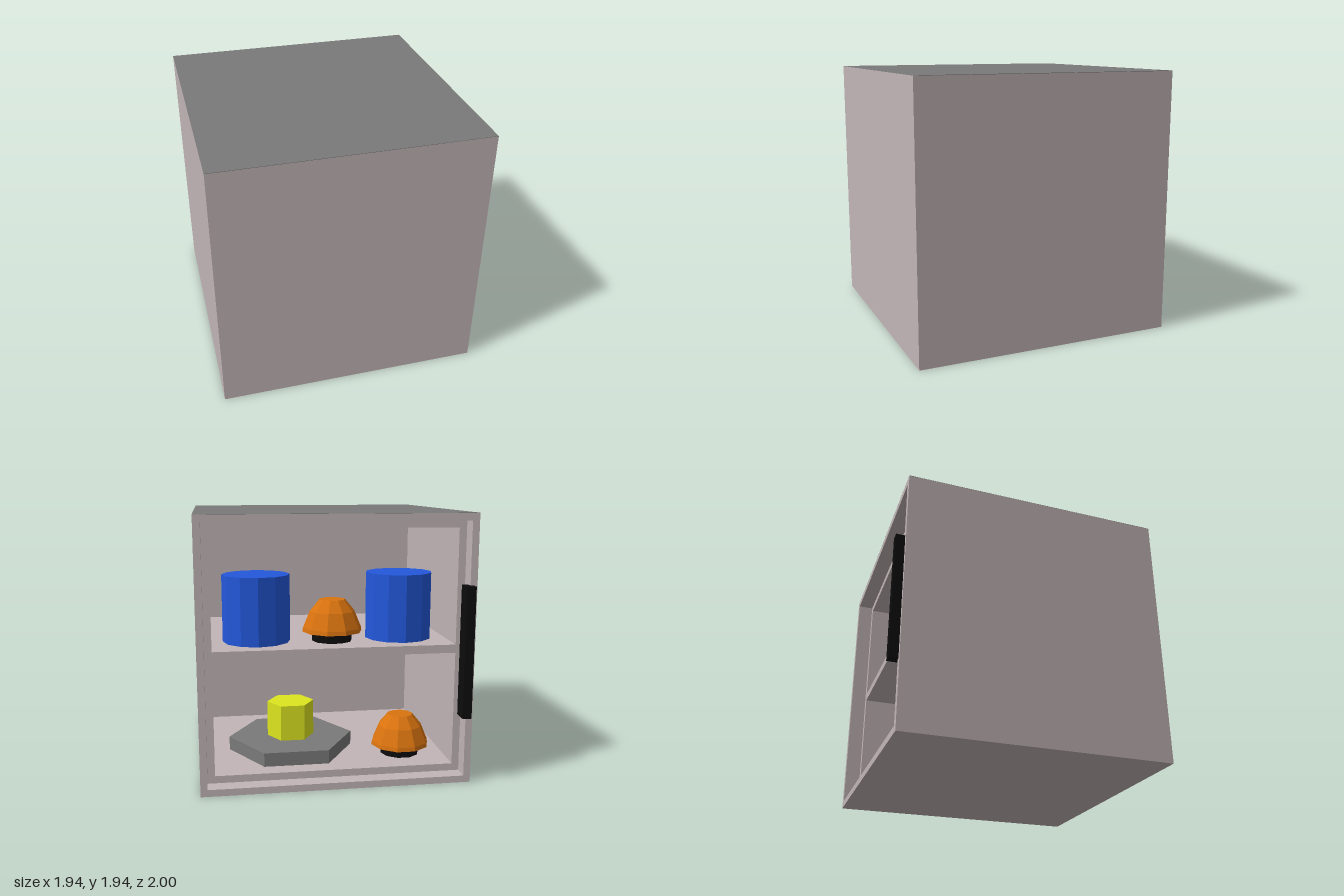
import * as THREE from 'three';

const mat = (color) => new THREE.MeshStandardMaterial({ color, flatShading: true });
const M = {
  shell: mat(0xc2b5b7), grey: mat(0x7a7a7a), black: mat(0x0c0c0c),
  blue: mat(0x2358dc), orange: mat(0xd9730f), yellow: mat(0xdde61f),
};
const HALF = 0.968, MID = HALF, BACK = -0.935, RECESS = -0.82, WALL = 0.565, FRONT = 1;
const FLOOR = 0.103, SHELF = 1.0;

function add(parent, name, geometry, material, x = 0, y = 0, z = 0) {
  const mesh = new THREE.Mesh(geometry, material);
  mesh.name = name;
  mesh.position.set(x, y, z);
  parent.add(mesh);
  return mesh;
}

// Square tube running along z, with a square opening
function squareTube(inner, z0, z1) {
  const square = (h, P) => new P([[-h, -h], [h, -h], [h, h], [-h, h]].map(([x, y]) => new THREE.Vector2(x, y)));
  const shape = square(HALF, THREE.Shape);
  shape.holes.push(square(inner, THREE.Path));
  return new THREE.ExtrudeGeometry(shape, { depth: z1 - z0, bevelEnabled: false }).translate(0, MID, z0);
}

// Prism standing on y = 0 with corners on the x axis
function prism(radius, height, sides) {
  return new THREE.CylinderGeometry(radius, radius, height, sides)
    .rotateY(Math.PI / 2).translate(0, height / 2, 0);
}

// Faceted dome on a dark foot
function dome(parent, name, x, y, z) {
  const g = new THREE.Group();
  g.name = name;
  g.position.set(x, y, z);
  const profile = [[0, 0.065], [0.22, 0.07], [0.215, 0.1], [0.165, 0.22], [0.095, 0.305], [0, 0.305]]
    .map(([r, h]) => new THREE.Vector2(r, h));
  add(g, 'domeBody', new THREE.LatheGeometry(profile, 10).rotateY(Math.PI / 2), M.orange);
  add(g, 'domeFoot', prism(0.147, 0.068, 10), M.black);
  parent.add(g);
}

export function createModel() {
  const model = new THREE.Group();
  model.name = 'openCabinet';

  // Housing: outer rim, stepped liner and the deep closed front
  const housing = new THREE.Group();
  housing.name = 'housing';
  model.add(housing);
  add(housing, 'outerRim', squareTube(0.918, BACK, RECESS), M.shell);
  add(housing, 'liner', squareTube(0.865, RECESS, WALL), M.shell);
  add(housing, 'closedFront', new THREE.BoxGeometry(2 * HALF, 2 * HALF, FRONT - WALL), M.shell,
    0, MID, (FRONT + WALL) / 2);
  add(housing, 'topPanel', new THREE.BoxGeometry(2 * HALF, 0.003, FRONT - BACK), M.grey,
    0, 2 * HALF, (FRONT + BACK) / 2);
  add(housing, 'shelf', new THREE.BoxGeometry(1.73, 0.06, WALL - RECESS), M.shell,
    0, SHELF - 0.03, (WALL + RECESS) / 2);

  // Upright handle on the open side
  add(model, 'handle', new THREE.BoxGeometry(0.065, 0.94, 0.12), M.black, -0.907, 0.97, -0.94);

  // Upper shelf: two drums with a dome between
  for (const x of [0.535, -0.525]) add(model, 'drum', prism(0.247, 0.49, 12), M.blue, x, SHELF, -0.467);
  dome(model, 'upperDome', -0.015, SHELF, -0.53);

  // Lower compartment: hexagonal plate with a block, and a second dome
  add(model, 'hexPlate', prism(0.465, 0.1, 6), M.grey, 0.283, 0.15, -0.408);
  add(model, 'hexBlock', prism(0.175, 0.265, 6), M.yellow, 0.283, 0.25, -0.408);
  dome(model, 'lowerDome', -0.545, FLOOR, -0.515);

  return model;
}
